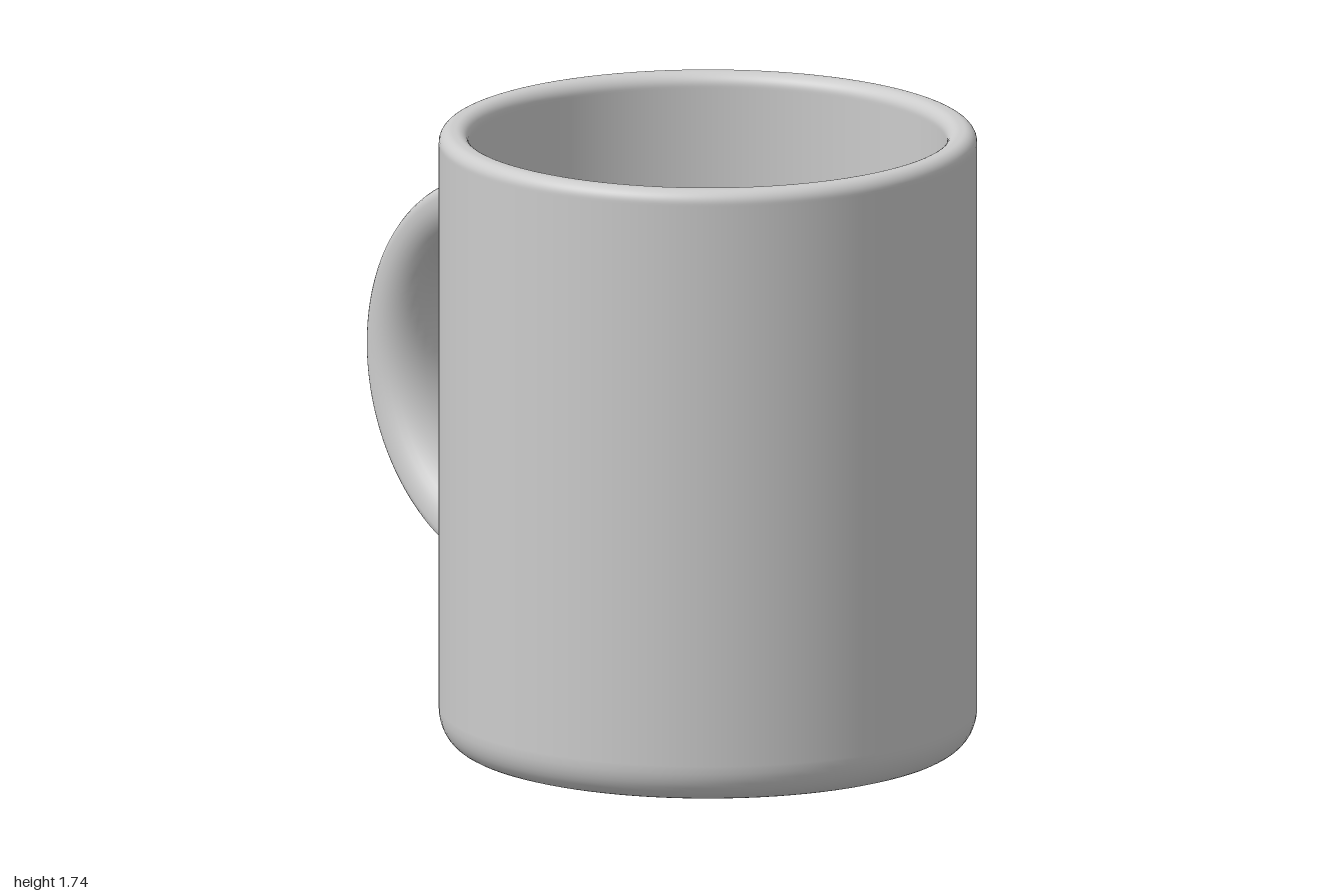
import * as THREE from 'three';

const RADIUS = 0.743, INNER = 0.66, HEIGHT = 1.737, FLOOR = 0.08;
const material = new THREE.MeshStandardMaterial({ color: 0xcccccc, side: THREE.DoubleSide });

// Adds a quarter-ellipse corner, with close points at both ends to keep the walls flat-shaded
function addCorner(points, cx, cy, rx, ry, from, to, steps = 10) {
  const at = (a) => new THREE.Vector2(cx + rx * Math.cos(a), cy + ry * Math.sin(a));
  const guard = (a, sign) => at(a).add(
    new THREE.Vector2(-Math.sin(a), Math.cos(a)).multiplyScalar(0.006 * sign * Math.sign(to - from)));
  points.push(guard(from, -1));
  for (let i = 0; i <= steps; i++) points.push(at(from + (to - from) * i / steps));
  points.push(guard(to, 1));
}

// Cup wall, rim and floor as one turned profile
function cupGeometry() {
  const h = Math.PI / 2;
  const p = [new THREE.Vector2(0, 0)];
  addCorner(p, RADIUS - 0.075, 0.1, 0.075, 0.1, -h, 0);
  addCorner(p, RADIUS - 0.036, HEIGHT - 0.036, 0.036, 0.036, 0, h);
  addCorner(p, INNER + 0.036, HEIGHT - 0.036, 0.036, 0.036, h, 2 * h);
  addCorner(p, INNER - 0.06, FLOOR + 0.06, 0.06, 0.06, 0, -h);
  p.push(new THREE.Vector2(0, FLOOR));
  return new THREE.LatheGeometry(p, 96);
}

// Handle: a broad section, gently curved outside and fuller inside, swept along half an ellipse
function handleGeometry() {
  const arc = 56, around = 36, a = 0.56, b = 0.53, startR = 0.745, midY = 0.907;
  const pos = [], index = [];
  const power = (v, e) => Math.sign(v) * Math.abs(v) ** e;
  for (let i = -1; i <= arc + 1; i++) {
    const t = -Math.PI / 2 + Math.PI * THREE.MathUtils.clamp(i / arc, 0, 1);
    // first and last rings are sunk into the wall
    const sunk = i < 0 || i > arc ? 0.055 : 0;
    const cx = startR + a * Math.cos(t) - sunk, cy = midY + b * Math.sin(t);
    const normal = new THREE.Vector2(b * Math.cos(t), a * Math.sin(t)).normalize();
    const inside = 0.105 + 0.035 * Math.abs(Math.sin(t)) ** 10;
    for (let j = 0; j < around; j++) {
      const q = j / around * Math.PI * 2, c = Math.cos(q);
      const n = c > 0 ? 0.045 * power(c, 0.7) : inside * power(c, 0.95);
      const s = 0.145 * power(Math.sin(q), 0.85);
      pos.push(cx + normal.x * n, cy + normal.y * n, s);
    }
  }
  for (let i = 0; i < arc + 2; i++) {
    for (let j = 0; j < around; j++) {
      const k = (j + 1) % around, r = i * around, u = r + around;
      index.push(r + j, u + j, r + k, u + j, u + k, r + k);
    }
  }
  const g = new THREE.BufferGeometry();
  g.setAttribute('position', new THREE.Float32BufferAttribute(pos, 3));
  g.setIndex(index);
  g.computeVertexNormals();
  return g;
}

export function createModel() {
  const mug = new THREE.Group();
  mug.name = 'mug';

  const cup = new THREE.Mesh(cupGeometry(), material);
  cup.name = 'cup';

  // Handle points to the right and towards the back
  const handle = new THREE.Mesh(handleGeometry(), material);
  handle.name = 'handle';
  handle.rotation.y = Math.PI - 0.453;

  mug.add(cup, handle);
  mug.position.x = 0.257;

  const model = new THREE.Group();
  model.add(mug);
  return model;
}
